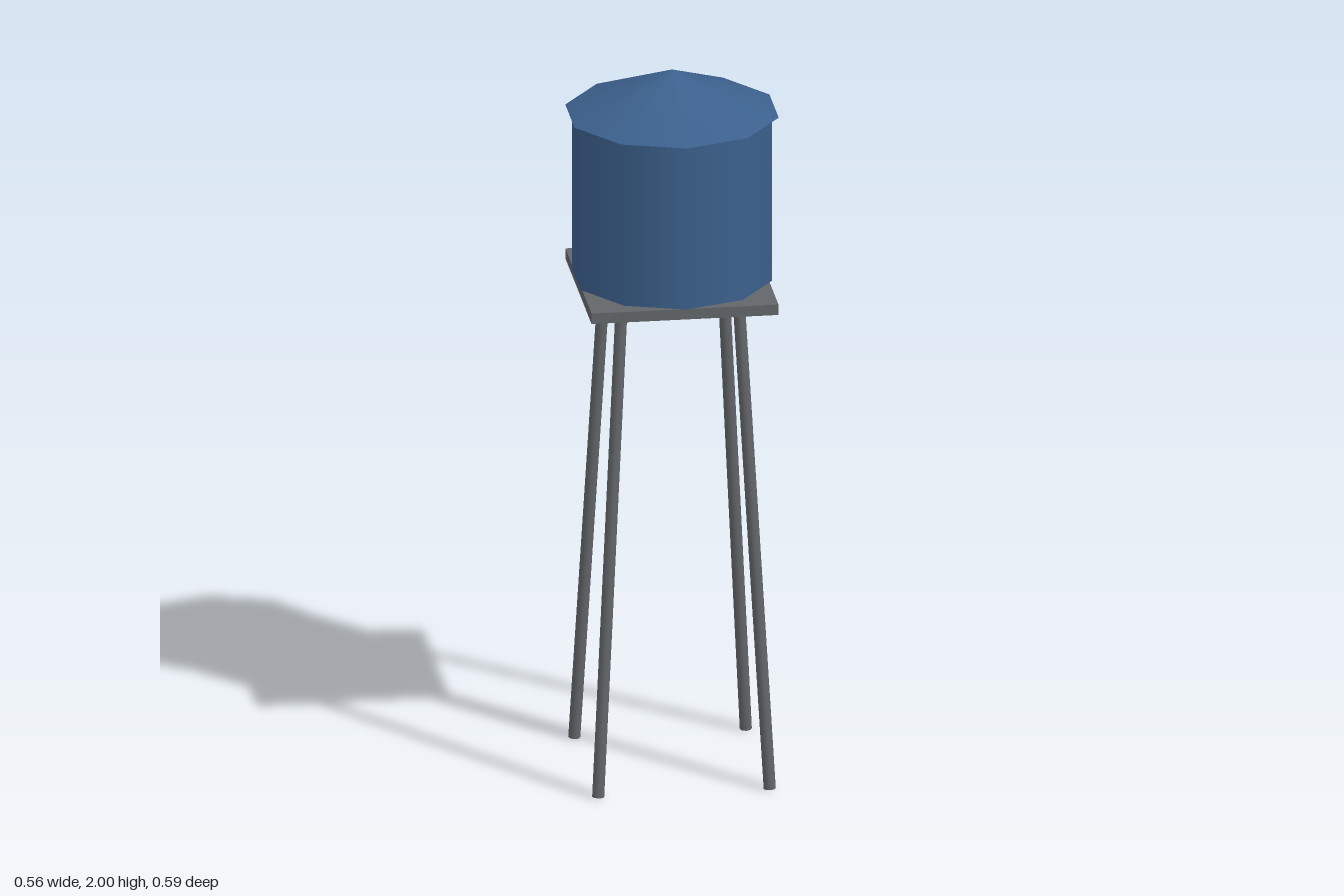
import * as THREE from 'three';

export function createModel() {
  const blue = new THREE.MeshStandardMaterial({ name: 'blue paint', color: 0x3b608c });
  const grey = new THREE.MeshStandardMaterial({ name: 'grey steel', color: 0x636669 });
  const model = new THREE.Group();
  model.name = 'waterTower';

  const add = (name, geometry, material, y = 0) => {
    const mesh = new THREE.Mesh(geometry, material);
    mesh.name = name;
    mesh.position.y = y;
    model.add(mesh);
    return mesh;
  };

  // Ten-sided tank and overhanging conical roof
  add('tank', new THREE.CylinderGeometry(0.275, 0.275, 0.473, 10), blue, 1.6455);
  add('roof', new THREE.ConeGeometry(0.293, 0.12, 10), blue, 1.94);

  // Square deck just below the tank
  add('platform', new THREE.BoxGeometry(0.51, 0.03, 0.51), grey, 1.388);

  // Four straight legs splayed outwards towards the ground
  const up = new THREE.Vector3(0, 1, 0);
  for (const sx of [-1, 1]) {
    for (const sz of [-1, 1]) {
      const foot = new THREE.Vector3(sx * 0.234, 0.001, sz * 0.234);
      const head = new THREE.Vector3(sx * 0.16, 1.38, sz * 0.16);
      const axis = head.clone().sub(foot);
      const name = (sz > 0 ? 'front' : 'back') + (sx > 0 ? 'Left' : 'Right') + 'Leg';
      const leg = add(name, new THREE.CylinderGeometry(0.0165, 0.0165, axis.length(), 8), grey);
      leg.position.copy(foot).add(head).multiplyScalar(0.5);
      leg.quaternion.setFromUnitVectors(up, axis.normalize());
    }
  }
  return model;
}
